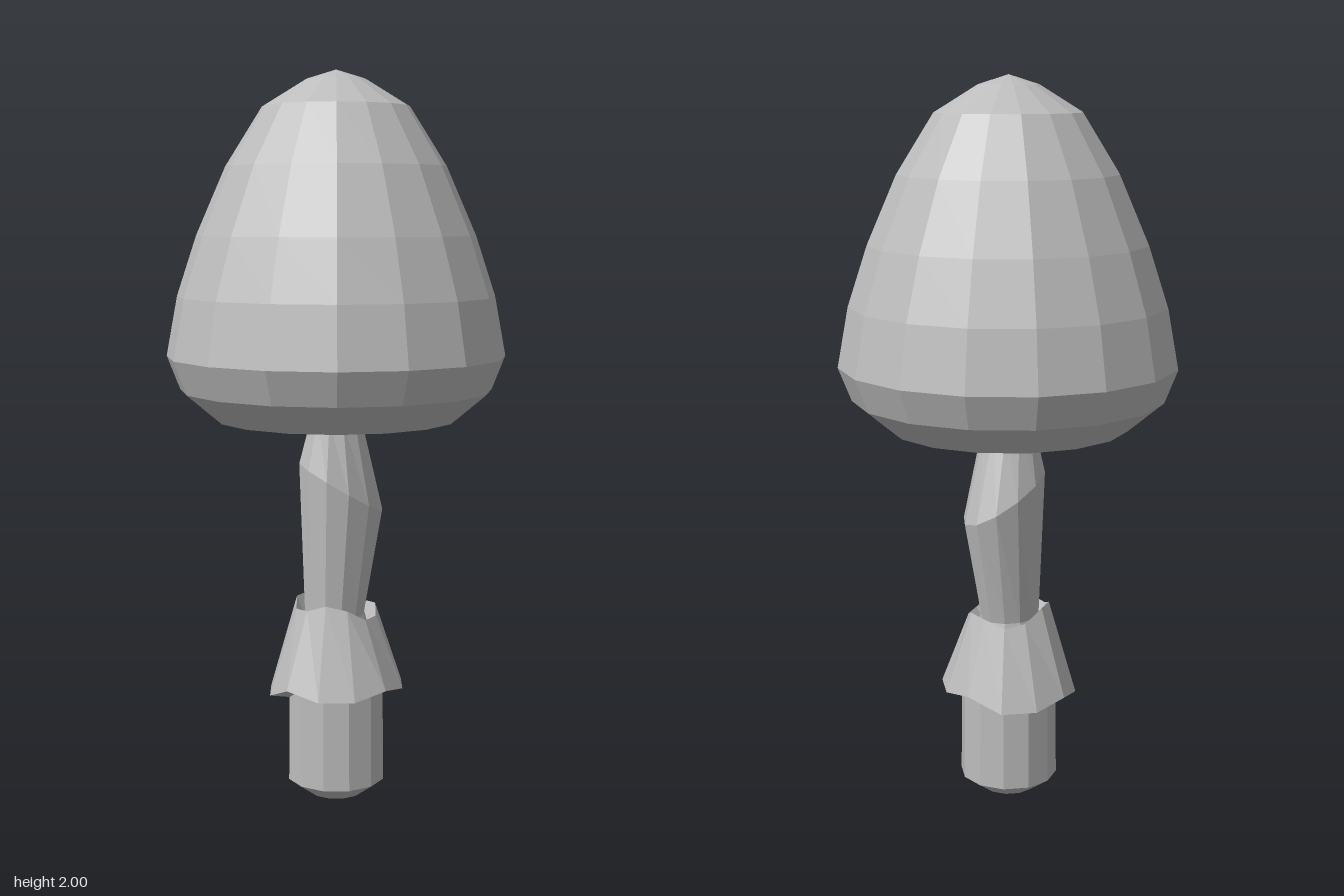
import * as THREE from 'three';

const grey = new THREE.MeshStandardMaterial({ color: 0xbcbcbc, flatShading: true, side: THREE.DoubleSide });
grey.name = 'grey';

// Turned part from [radius, height] pairs; rule(vertex, angle, level) bends it.
function turned(name, profile, sides, rule) {
  const geo = new THREE.LatheGeometry(profile.map(([r, y]) => new THREE.Vector2(r, y)), sides);
  if (rule) {
    const pos = geo.attributes.position;
    const v = new THREE.Vector3();
    for (let i = 0; i < pos.count; i++) {
      v.fromBufferAttribute(pos, i);
      const angle = Math.floor(i / profile.length) / sides * Math.PI * 2;
      rule(v, angle, i % profile.length);
      pos.setXYZ(i, v.x, v.y, v.z);
    }
    geo.computeVertexNormals();
  }
  const mesh = new THREE.Mesh(geo, grey);
  mesh.name = name;
  return mesh;
}

export function createModel() {
  const group = new THREE.Group();
  group.name = 'mushroom';

  // Faceted bell cap with a hollow conical underside
  group.add(turned('cap', [
    [0.02, 1.4], [0.325, 1.08], [0.42, 1.16], [0.455, 1.25], [0.425, 1.41],
    [0.372, 1.57], [0.293, 1.75], [0.195, 1.905], [0.08, 1.975], [0, 2],
  ], 16));

  // Crooked stem: straight foot, narrow waist, tilted bulge, tapered top
  group.add(turned('stem', [
    [0, 0.005], [0.075, 0.032], [0.135, 0.075], [0.132, 0.35],
    [0.088, 0.54], [0.115, 0.89], [0.07, 1.08], [0.02, 1.42],
  ], 12, (v, angle, level) => {
    if (level === 4) {
      v.x -= 0.005;
      v.z *= 0.88;
    } else if (level === 5) {
      v.y -= 0.5 * v.x + 0.35 * v.z;
      v.x = v.x * 1.09 + 0.02;
      v.z *= 0.91;
    }
  }));

  // Flared collar with an uneven hem and a ragged upper lip
  group.add(turned('collar', [
    [0.08, 0.5], [0.125, 0.335], [0.188, 0.345], [0.112, 0.56], [0.08, 0.5],
  ], 12, (v, angle, level) => {
    if (level === 1 || level === 2) {
      v.y += 0.012 * Math.cos(4 * angle) + (v.z < -0.05 ? -0.02 : 0);
    } else if (level === 3) {
      v.y += 0.018 * Math.cos(3 * angle + 2.6) - 0.12 * v.x - 0.05 * v.z;
    }
  }));

  return group;
}
